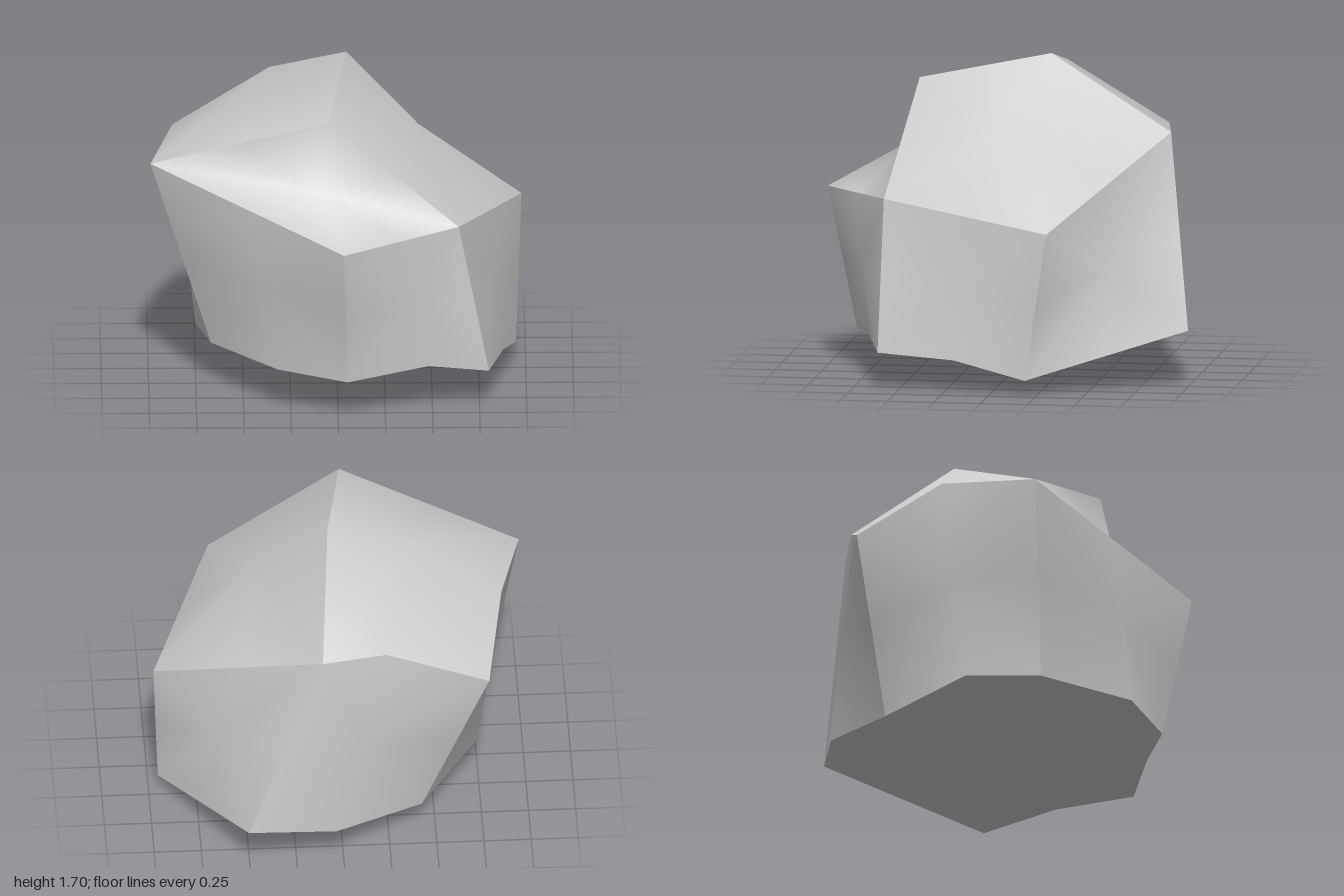
import * as THREE from 'three';

// Corners of a lopsided twelve-sided stone (four or three faces meet at each)
const corners = {
  A: [-0.99, 1.23, 0.26], B: [-0.05, 1.54, 0.52], C: [0.03, 0.96, 1.0], D: [0.64, 0.99, 0.61],
  E: [0.98, 0.87, -0.31], F: [0.95, 0.08, -0.19], G: [0.8, 0.19, 0.62], H: [0.05, 0.2, 0.84],
  I: [-0.67, 0.23, 0.26], J: [0.12, 0, -0.06], L: [0.11, 1.3, -0.85], M: [0.51, 0.3, -1.0],
  N: [-0.78, 1.04, -0.71], P: [-0.43, 0.14, -0.59],
};

// Midpoints of the edges that bend; all other edges are straight
const bends = {
  BL: [0.05, 1.7, -0.2], LN: [-0.23, 1.3, -0.79], AN: [-0.87, 1.28, -0.25], IP: [-0.75, 0.21, -0.135],
  HI: [-0.32, 0.23, 0.71], GH: [0.48, 0.25, 0.72], FG: [0.88, 0.17, 0.2], MP: [0.04, 0.23, -0.92],
};

// Four corners of each face, counter-clockwise from outside, with an optional lift of its centre
const faces = [
  ['topRightFacet', 'ABLN', 0.05], ['topLeftFacet', 'BDEL', 0.04], ['frontSlope', 'ACDB'],
  ['frontRightFacet', 'AIHC'], ['frontLeftFacet', 'CHGD'], ['leftFacet', 'DGFE'],
  ['backLeftFacet', 'EFML'], ['backFacet', 'LMPN'], ['rightFacet', 'NPIA'],
  ['undersideRight', 'HIPJ'], ['undersideLeft', 'GHJF'], ['undersideBack', 'FJPM'],
];

const corner = (k) => new THREE.Vector3(...corners[k]);

function midpoint(a, b) {
  const bend = bends[[a, b].sort().join('')];
  return bend ? new THREE.Vector3(...bend) : corner(a).lerp(corner(b), 0.5);
}

// Two-by-two patch whose centre follows its four curved borders
function facet(keys, lift = 0) {
  const c = [...keys].map(corner);
  const m = c.map((_, i) => midpoint(keys[i], keys[(i + 1) % 4]));
  const centre = new THREE.Vector3(0, lift, 0);
  for (let i = 0; i < 4; i++) centre.addScaledVector(m[i], 0.5).addScaledVector(c[i], -0.25);

  const points = [...c, ...m, centre];
  const index = [];
  for (let i = 0; i < 4; i++) {
    const before = 4 + ((i + 3) % 4);
    index.push(i, 4 + i, 8, i, 8, before);
  }
  const geometry = new THREE.BufferGeometry().setFromPoints(points);
  geometry.setIndex(index);
  geometry.computeVertexNormals();
  return geometry;
}

export function createModel() {
  const stone = new THREE.Group();
  stone.name = 'stone';
  const material = new THREE.MeshStandardMaterial({ color: 0xcccccc });
  for (const [name, keys, lift] of faces) {
    const mesh = new THREE.Mesh(facet(keys, lift), material);
    mesh.name = name;
    stone.add(mesh);
  }
  return stone;
}
